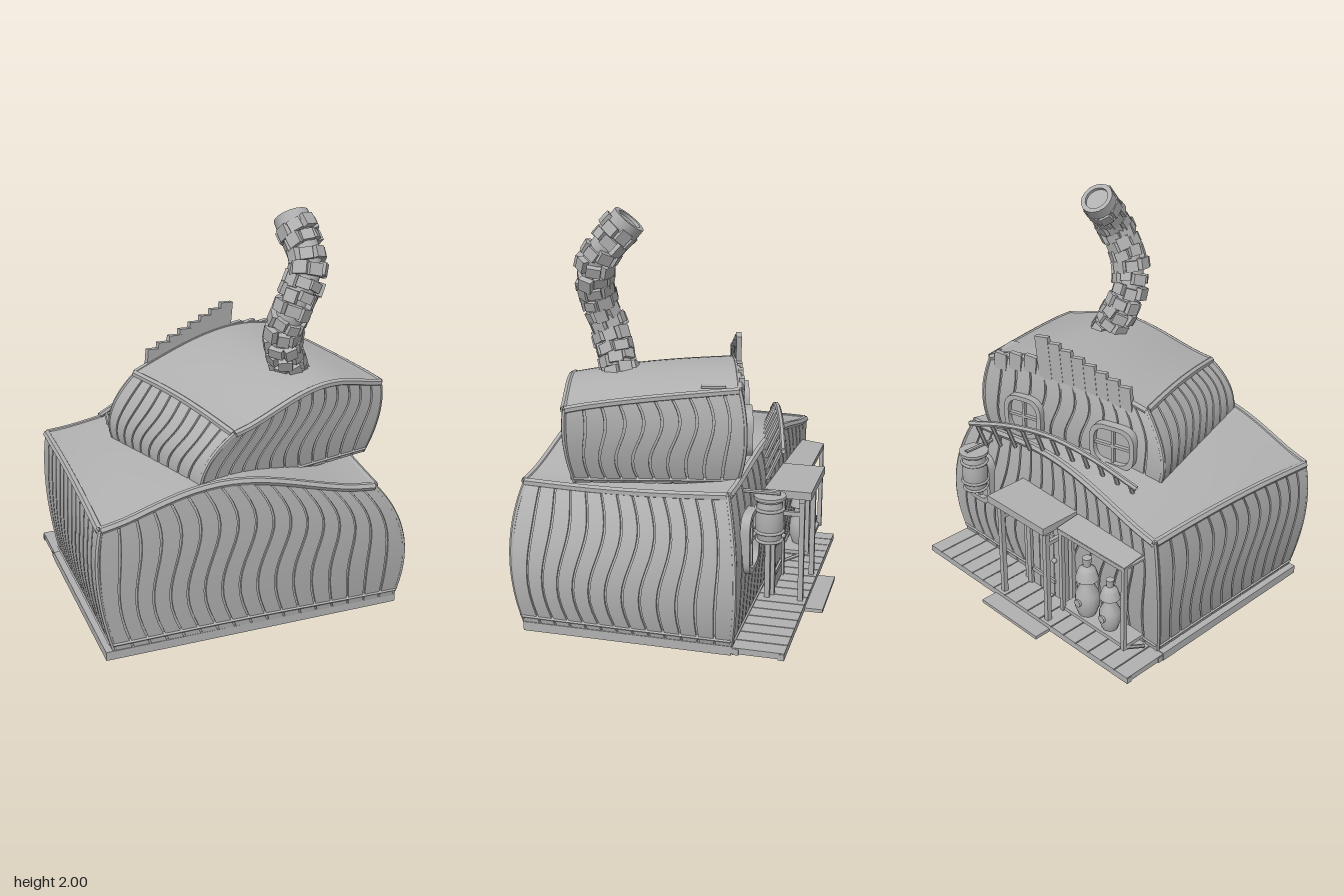
import * as THREE from 'three';
import { mergeGeometries, toCreasedNormals } from 'three/addons/utils/BufferGeometryUtils.js';

const V = (x, y, z) => new THREE.Vector3(x, y, z);

export function createModel() {
  const root = new THREE.Group();
  root.name = 'crookedHouse';
  const grey = new THREE.MeshStandardMaterial({ color: 0xb0b0b0, side: THREE.DoubleSide });
  grey.name = 'weathered grey';

  const add = (name, geo, parent = root) => {
    const m = new THREE.Mesh(geo, grey);
    m.name = name;
    parent.add(m);
    return m;
  };
  const box = (name, w, h, d, x, y, z, parent) => {
    const m = add(name, new THREE.BoxGeometry(w, h, d), parent);
    m.position.set(x, y, z);
    return m;
  };
  const tube = (name, pts, r, sides = 6, parent = root, segs = 24) =>
    add(name, toCreasedNormals(new THREE.TubeGeometry(new THREE.CatmullRomCurve3(pts), segs, r, sides), 0.9), parent);
  const rod = (name, a, b, r, parent) => tube(name, [a, b], r, 6, parent, 1);
  const lathe = (name, pts, sides, parent) =>
    add(name, toCreasedNormals(new THREE.LatheGeometry(pts.map(p => new THREE.Vector2(...p)), sides), 0.6), parent);

  // Grid surface: nu columns by nv rows
  function sheet(nu, nv, fn) {
    const pos = [], idx = [];
    for (let i = 0; i <= nu; i++) for (let j = 0; j <= nv; j++) pos.push(...fn(i, j / nv).toArray());
    for (let i = 0; i < nu; i++) for (let j = 0; j < nv; j++) {
      const a = i * (nv + 1) + j, b = a + nv + 1;
      idx.push(a, b, b + 1, a, b + 1, a + 1);
    }
    const g = new THREE.BufferGeometry();
    g.setAttribute('position', new THREE.Float32BufferAttribute(pos, 3));
    g.setIndex(idx);
    return toCreasedNormals(g, 0.5);
  }

  // One bulging wall between two bowed corner lines
  function makeWall(a, b, wave) {
    const bow = ([p, m, t]) => new THREE.QuadraticBezierCurve3(p, m.clone().multiplyScalar(2).addScaledVector(p, -0.5).addScaledVector(t, -0.5), t);
    const ca = bow(a), cb = bow(b), d = b[1].clone().sub(a[1]);
    const out = V(-d.z, 0, d.x).normalize();
    const at = (u, v, off = 0) => {
      const p = ca.getPoint(v).lerp(cb.getPoint(v), u);
      p.y += v * wave(u);
      return p.addScaledVector(out, off);
    };
    return { at, width: d.length(), turn: Math.atan2(out.x, out.z) };
  }

  // A storey: four planked walls, warped roof and edge beams
  function storey(name, corners, waves, counts, beam) {
    const group = new THREE.Group();
    group.name = name;
    root.add(group);
    const walls = corners.map((c, i) => makeWall(c, corners[(i + 1) % 4], waves[i]));
    walls.forEach((w, i) => {
      const n = counts[i], gap = 0.011 / w.width, cols = [];
      for (let k = 0; k < n; k++) {
        const u0 = k / n, u1 = (k + 1) / n;
        cols.push([u0, 0], [u0 + gap, 0], [u0 + gap, 0.01], [(u0 + u1 + gap) / 2, 0.01], [u1, 0.01]);
      }
      cols.push([1, 0]);
      // Seams sway sideways between sill and eaves
      const sway = (u, v) => u - 0.16 * u * (1 - u) * Math.sin(2 * Math.PI * v);
      add('plankWall', sheet(cols.length - 1, 14, (c, v) => w.at(sway(cols[c][0], v), v, cols[c][1])), group);
      const line = f => Array.from({ length: 13 }, (_, k) => f(k / 12));
      tube('roofBeam', line(u => w.at(u, 1, 0.004)), beam, 6, group);
      tube('sillBeam', line(u => w.at(u, 0.045, 0.004)), 0.014, 4, group);
      tube('cornerPost', line(v => w.at(0, v)), 0.012, 6, group);
    });
    const [f, r, b, l] = walls;
    const [FL, FR, BR, BL] = corners.map(c => c[2]);
    add('roof', sheet(24, 16, (i, t) => {
      const s = i / 24;
      const p = f.at(s, 1).multiplyScalar(1 - t).addScaledVector(b.at(1 - s, 1), t)
        .addScaledVector(l.at(1 - t, 1), 1 - s).addScaledVector(r.at(t, 1), s);
      p.addScaledVector(FL, -(1 - s) * (1 - t)).addScaledVector(FR, -s * (1 - t));
      p.addScaledVector(BR, -s * t).addScaledVector(BL, -(1 - s) * t);
      p.y += 0.012;
      return p;
    }), group);
    return walls;
  }
  const hump = (h, skew, sharp) => u => h * Math.pow(Math.max(0, Math.sin(Math.PI * Math.pow(u, skew))), sharp);

  const lower = storey('lowerStorey', [
    [V(-0.72, 0.04, 0.635), V(-0.79, 0.4, 0.65), V(-0.77, 0.69, 0.645)],
    [V(0.75, 0.04, 0.645), V(0.755, 0.4, 0.7), V(0.59, 0.7, 0.685)],
    [V(0.75, 0.04, -0.375), V(0.79, 0.4, -0.4), V(0.68, 0.75, -0.34)],
    [V(-0.72, 0.04, -0.375), V(-0.765, 0.4, -0.43), V(-0.75, 0.72, -0.445)],
  ], [hump(0.14, 0.85, 1.7), hump(-0.015, 1, 1), hump(0.1, 1, 1.5), hump(0.02, 1, 1)], [17, 13, 17, 13], 0.02);

  const upper = storey('upperStorey', [
    [V(-0.28, 0.75, 0.62), V(-0.26, 0.92, 0.645), V(-0.12, 1.06, 0.635)],
    [V(0.67, 0.75, 0.4), V(0.735, 0.95, 0.42), V(0.74, 1.12, 0.415)],
    [V(0.5, 0.75, -0.34), V(0.53, 0.97, -0.385), V(0.5, 1.2, -0.35)],
    [V(-0.46, 0.75, -0.12), V(-0.485, 0.93, -0.12), V(-0.36, 1.13, -0.1)],
  ], [hump(0.09, 1.2, 1.3), hump(0.01, 0.7, 1), hump(0.08, 0.8, 1), hump(0.02, 1, 1)], [12, 10, 12, 10], 0.018);

  // Foundation, porch planks and step
  box('foundation', 1.53, 0.045, 1.03, 0, 0.0225, 0.135);
  for (let i = 0; i < 17; i++) box('porchPlank', 0.084, 0.03, 0.25, -0.72 + i * 0.09, 0.025, -0.505);
  for (const z of [-0.4, -0.615]) box('porchBeam', 1.53, 0.03, 0.03, 0, 0.02, z);
  box('porchStep', 0.42, 0.018, 0.12, 0, 0.009, -0.66);

  // Crooked chimney of staggered, uneven bricks
  let seed = 7;
  const rnd = () => (seed = (seed * 16807) % 2147483647) / 2147483647;
  const path = new THREE.CatmullRomCurve3([V(0.35, 1.12, 0.25), V(0.24, 1.4, 0.36), V(0.265, 1.56, 0.41), V(0.345, 1.76, 0.38), V(0.325, 1.935, 0.235)]);
  add('chimneyCore', new THREE.TubeGeometry(path, 30, 0.068, 12));
  const bricks = [], up = V(0, 1, 0);
  for (let k = 0; k < 14; k++) {
    const t = (k + 0.4) / 14.4, q = new THREE.Quaternion().setFromUnitVectors(up, path.getTangentAt(t)), p = path.getPointAt(t);
    for (let j = 0; j < 7; j++) {
      const g = new THREE.BoxGeometry(0.056 + rnd() * 0.016, 0.046 + rnd() * 0.02, 0.032);
      g.rotateZ((rnd() - 0.5) * 0.2);
      g.translate(0, (rnd() - 0.5) * 0.024, 0.066 + rnd() * 0.017);
      g.rotateY((j + (k % 2) / 2) * Math.PI * 2 / 7);
      g.applyQuaternion(q).translate(p.x, p.y, p.z);
      bricks.push(g);
    }
  }
  add('chimneyBricks', mergeGeometries(bricks));
  const rim = lathe('chimneyRim', [[0, 0], [0.062, 0], [0.062, 0.015], [0.086, 0.015], [0.086, -0.045]], 16);
  rim.position.copy(path.getPoint(1));
  rim.quaternion.setFromUnitVectors(up, path.getTangent(1));

  // Tilted boards above the upper rear wall, descending to one side
  function facadeBoard(u, width, top, drop, tilt) {
    const p = upper[2].at(u, 1, 0.014), bottom = p.y - drop;
    const m = box('facadeBoard', width, top - bottom, 0.026, p.x, (top + bottom) / 2, p.z);
    m.rotation.set(0, upper[2].turn, tilt);
  }
  for (let i = 0; i < 8; i++) facadeBoard(0.37 + i * 0.073, 0.075, 1.395 - i * 0.023, 0.12 + (i % 3) * 0.015, 0.1);
  for (let i = 0; i < 3; i++) facadeBoard(0.08 + i * 0.1, 0.07, upper[2].at(0.08 + i * 0.1, 1).y + 0.02, 0.07, -0.08);

  // Roof hatches
  for (const [x, y, z, s] of [[0.48, 1.216, -0.22, 0.1], [0.4, 1.2, -0.06, 0.13]]) {
    const hatch = box('roofHatch', s, 0.009, s * 1.15, x, y, z);
    hatch.rotation.y = 0.27;
  }

  // Rounded windows with deep frames
  function roundedShape(w, h, r, Type = THREE.Shape) {
    const s = new Type();
    s.moveTo(-w + r, -h).lineTo(w - r, -h).quadraticCurveTo(w, -h, w, -h + r).lineTo(w, h - r)
      .quadraticCurveTo(w, h, w - r, h).lineTo(-w + r, h).quadraticCurveTo(-w, h, -w, h - r)
      .lineTo(-w, -h + r).quadraticCurveTo(-w, -h, -w + r, -h);
    return s;
  }
  function windowOn(wall, u, v, w, h) {
    const g = new THREE.Group();
    g.name = 'window';
    g.position.copy(wall.at(u, v));
    g.rotation.y = wall.turn;
    root.add(g);
    const s = roundedShape(w, h, 0.085);
    s.holes.push(roundedShape(w - 0.024, h - 0.024, 0.07, THREE.Path));
    add('windowFrame', toCreasedNormals(new THREE.ExtrudeGeometry(s, { depth: 0.045, bevelEnabled: false, curveSegments: 8 }), 0.6), g);
    add('windowPane', new THREE.ShapeGeometry(roundedShape(w - 0.02, h - 0.02, 0.07)), g).position.z = 0.016;
    box('windowBar', 0.014, h * 1.9, 0.02, 0, 0, 0.025, g);
    box('windowBar', w * 1.9, 0.014, 0.02, 0, 0, 0.025, g);
  }
  windowOn(upper[2], 0.25, 0.4, 0.11, 0.115);
  windowOn(upper[2], 0.75, 0.42, 0.125, 0.115);
  windowOn(lower[2], 0.14, 0.62, 0.11, 0.15);

  // Arched balcony rail with leaning balusters
  const rail = new THREE.CatmullRomCurve3([V(0.45, 0.91, -0.55), V(0.2, 0.97, -0.49), V(-0.03, 0.98, -0.43), V(-0.27, 0.93, -0.37), V(-0.5, 0.84, -0.31)]);
  tube('balconyRail', rail.points, 0.014);
  for (let i = 0; i < 11; i++) {
    const p = rail.getPoint(0.04 + i * 0.092);
    rod('baluster', p, p.clone().add(V(0.02, -0.16, 0.07)), 0.011);
  }

  // Entrance canopy on posts
  box('canopyRoof', 0.42, 0.04, 0.26, 0, 0.61, -0.52);
  box('canopyBeam', 0.38, 0.025, 0.03, 0, 0.575, -0.6);
  for (const x of [-0.17, 0.17]) {
    for (const z of [-0.6, -0.43]) box('canopyPost', 0.026, 0.55, 0.026, x, 0.315, z);
    box('canopyBrace', 0.02, 0.022, 0.18, x, 0.5, -0.51);
  }

  // Planked door with frame, hinges and handle
  for (let i = 0; i < 4; i++) box('doorPlank', 0.05, 0.47, 0.03, -0.0825 + i * 0.055, 0.28, -0.435);
  for (const x of [-0.13, 0.13]) box('doorFrame', 0.03, 0.51, 0.05, x, 0.295, -0.435);
  box('doorFrame', 0.29, 0.035, 0.06, 0, 0.535, -0.435);
  for (const y of [0.14, 0.42]) box('doorHinge', 0.17, 0.022, 0.012, 0.02, y, -0.455);
  add('doorHandle', new THREE.SphereGeometry(0.014, 10, 8)).position.set(-0.07, 0.28, -0.462);

  // Open display bay
  box('bayFloor', 0.45, 0.02, 0.13, -0.45, 0.13, -0.495);
  const bayRoof = box('bayRoof', 0.46, 0.018, 0.14, -0.45, 0.605, -0.5);
  bayRoof.rotation.x = -0.12;
  for (const x of [-0.67, -0.24]) {
    box('bayPost', 0.022, 0.48, 0.022, x, 0.36, -0.56);
    rod('bayBrace', V(x, 0.59, -0.56), V(x - 0.02, 0.61, -0.43), 0.01);
    rod('bayBrace', V(x, 0.13, -0.56), V(x, 0.06, -0.42), 0.01);
  }
  box('bayLintel', 0.45, 0.022, 0.022, -0.45, 0.59, -0.56);

  // Bell-shouldered bottles on display
  const bottle = [[0, 0], [0.04, 0], [0.058, 0.05], [0.055, 0.11], [0.035, 0.15], [0.03, 0.18], [0.055, 0.19], [0.04, 0.24], [0.018, 0.26], [0.022, 0.3], [0, 0.305]];
  for (const [x, s] of [[-0.36, 1.1], [-0.52, 0.95]]) {
    const m = lathe('displayBottle', bottle, 14);
    m.scale.setScalar(s);
    m.position.set(x, 0.14, -0.505);
    const dial = add('bottleDial', new THREE.CylinderGeometry(0.02, 0.02, 0.015, 12));
    dial.rotation.x = Math.PI / 2;
    dial.position.set(x, 0.14 + 0.08 * s, -0.505 - 0.056 * s);
  }

  // Hanging barrel with hoops and bracket
  const barrel = new THREE.Group();
  barrel.name = 'hangingBarrel';
  barrel.position.set(0.5, 0.59, -0.5);
  root.add(barrel);
  lathe('barrelBody', [[0, -0.11], [0.055, -0.11], [0.066, -0.05], [0.068, 0], [0.066, 0.05], [0.055, 0.11], [0, 0.11]], 14, barrel);
  for (const y of [-0.1, -0.055, 0.055, 0.1]) {
    const hoop = add('barrelHoop', new THREE.TorusGeometry(Math.abs(y) > 0.08 ? 0.06 : 0.067, 0.008, 6, 16), barrel);
    hoop.rotation.x = Math.PI / 2;
    hoop.position.y = y;
  }
  add('barrelLid', new THREE.CylinderGeometry(0.078, 0.078, 0.015, 12), barrel).position.y = 0.112;
  rod('barrelBracket', V(0, 0.13, 0.13), V(0, 0.13, -0.05), 0.01, barrel);
  return root;
}
